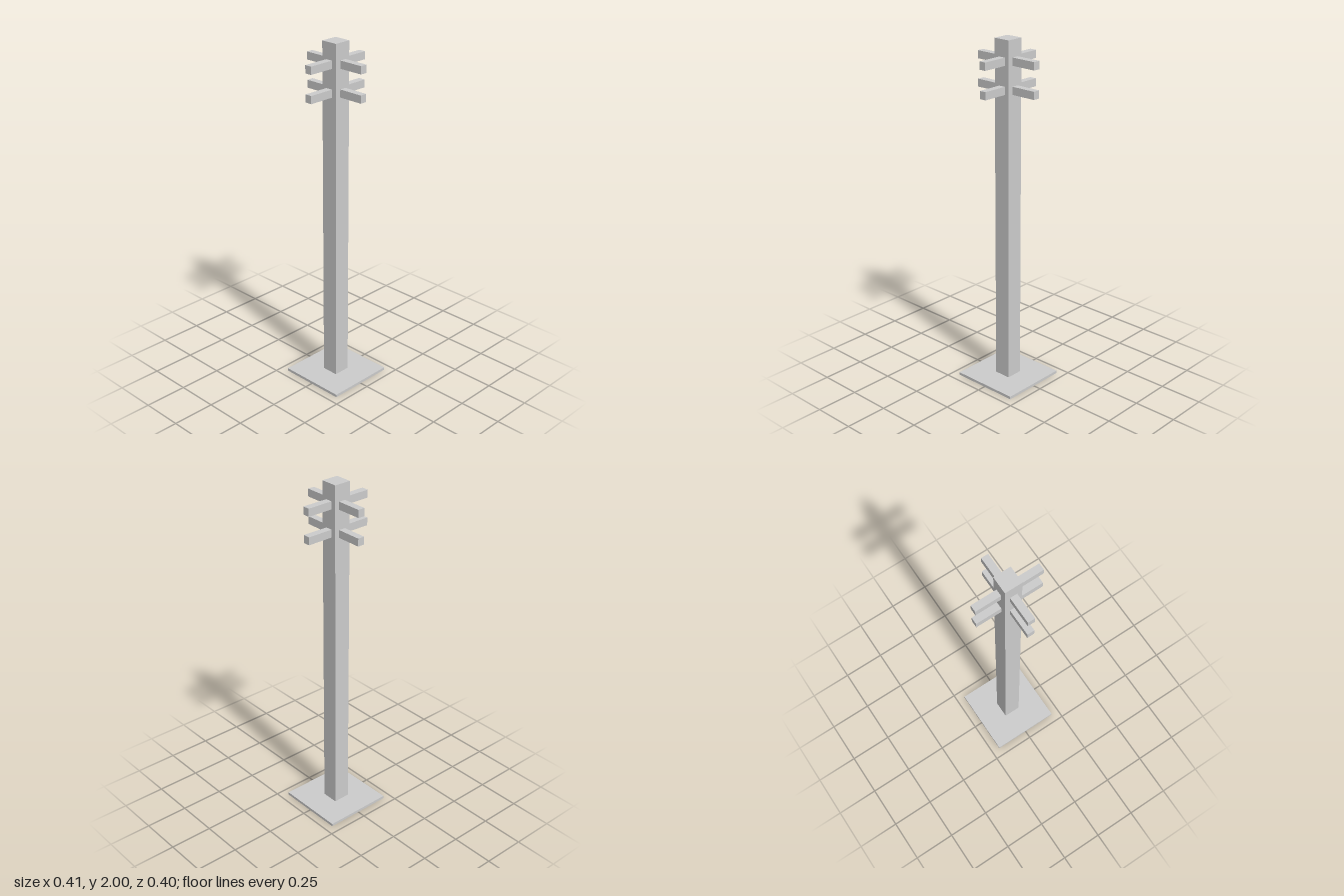
import * as THREE from 'three';

export function createModel() {
  const group = new THREE.Group();
  const material = new THREE.MeshStandardMaterial({ color: 0xcccccc, flatShading: true });

  const addBox = (name, [w, h, d], [x, y, z]) => {
    const mesh = new THREE.Mesh(new THREE.BoxGeometry(w, h, d), material);
    mesh.name = name;
    mesh.position.set(x, y, z);
    group.add(mesh);
  };

  // Base plate and square post
  addBox('basePlate', [0.405, 0.016, 0.401], [0, 0.008, 0]);
  addBox('post', [0.099, 1.984, 0.099], [-0.001, 1.008, -0.001]);

  // Two tiers of crossed pegs passing through the post
  for (const [tier, y] of [['lower', 1.728], ['upper', 1.884]]) {
    addBox(`${tier}SidePeg`, [0.403, 0.044, 0.041], [-0.001, y, -0.001]);
    addBox(`${tier}FrontBackPeg`, [0.04, 0.044, 0.394], [0.002, y, -0.001]);
  }

  return group;
}
